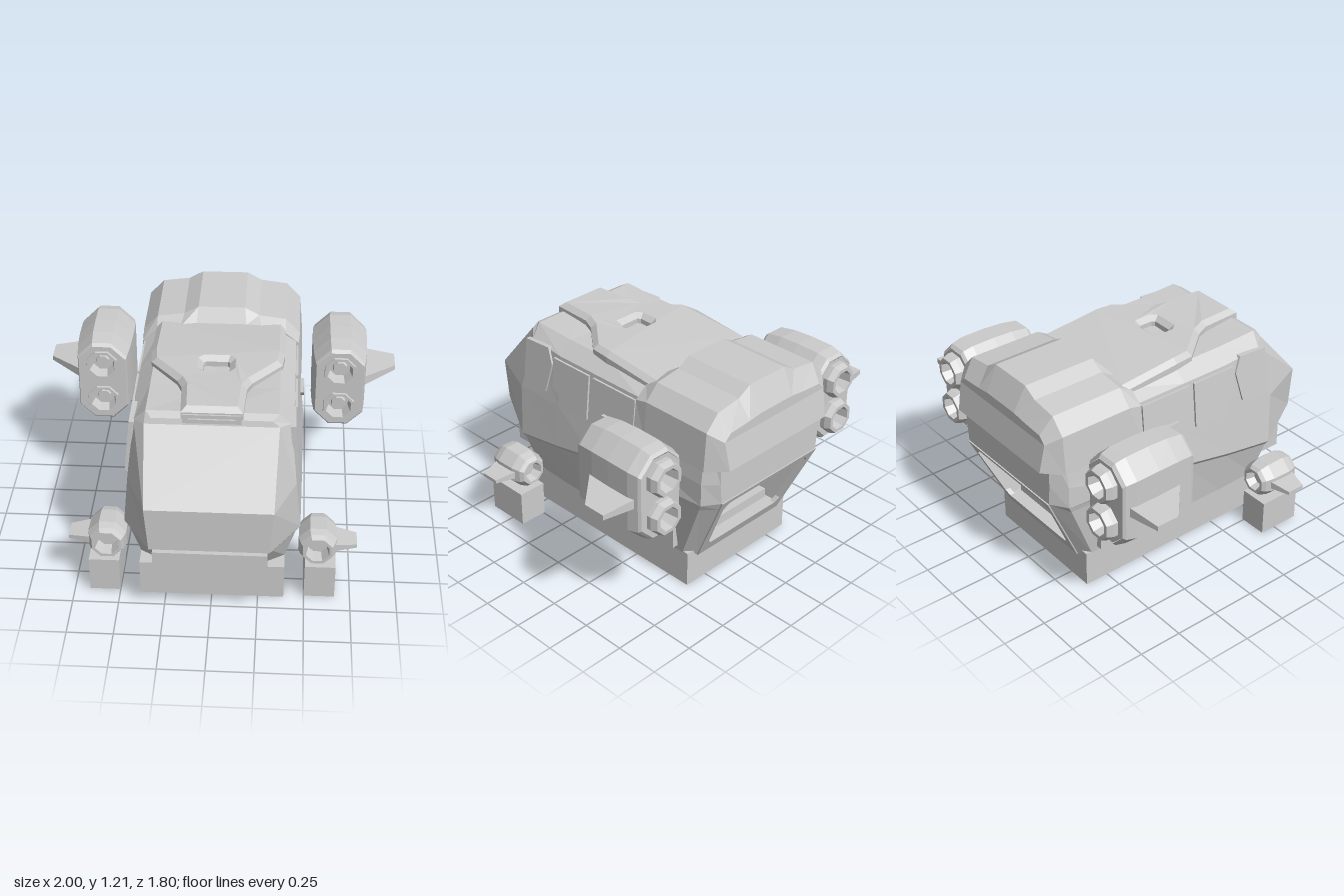
import * as THREE from 'three';

const mat = new THREE.MeshStandardMaterial({ color: 0xcccccc, flatShading: true, side: THREE.DoubleSide });
const OCT = Math.cos(Math.PI / 8);

function mesh(name, geo, parent) {
  const m = new THREE.Mesh(geo, mat);
  m.name = name;
  parent.add(m);
  return m;
}

// box given by its min and max on each axis
function box(name, x0, x1, y0, y1, z0, z1, parent) {
  const m = mesh(name, new THREE.BoxGeometry(x1 - x0, y1 - y0, z1 - z0), parent);
  m.position.set((x0 + x1) / 2, (y0 + y1) / 2, (z0 + z1) / 2);
  return m;
}

// full ring from a half profile running from top centre to bottom centre
const ring = (half, z) => {
  const pts = half.map(p => [p[0], p[1], p[2] ?? z]);
  const other = pts.filter(p => p[0] > 0).reverse().map(p => [-p[0], p[1], p[2]]);
  return pts.concat(other);
};

function toGeometry(pos) {
  const g = new THREE.BufferGeometry();
  g.setAttribute('position', new THREE.Float32BufferAttribute(pos.flat(), 3));
  g.computeVertexNormals();
  return g;
}

// skin between rings that run front to back
function loft(rings) {
  const pos = [];
  for (let i = 0; i < rings.length - 1; i++) {
    const n = rings[i].length;
    for (let j = 0; j < n; j++) {
      const k = (j + 1) % n;
      const [a, b, c, d] = [rings[i][j], rings[i][k], rings[i + 1][k], rings[i + 1][j]];
      pos.push(a, b, c, a, c, d);
    }
  }
  return toGeometry(pos);
}

// end wall made of strips between mirrored points of a half profile
function cap(half, z, back = false) {
  const pos = [];
  for (let j = 0; j < half.length - 1; j++) {
    const [p, q] = [half[j], half[j + 1]].map(v => [v[0], v[1], v[2] ?? z]);
    const pl = [-p[0], p[1], p[2]], ql = [-q[0], q[1], q[2]];
    if (back) pos.push(p, ql, pl, p, q, ql);
    else pos.push(p, pl, ql, p, ql, q);
  }
  return toGeometry(pos);
}

const shapeOf = pts => new THREE.Shape(pts.map(p => new THREE.Vector2(...p)));

function bend(geo, rule) {
  const p = geo.attributes.position, v = new THREE.Vector3();
  for (let i = 0; i < p.count; i++) {
    rule(v.fromBufferAttribute(p, i));
    p.setXYZ(i, v.x, v.y, v.z);
  }
  geo.computeVertexNormals();
  return geo;
}

// thin plate on the left hull side, outlined in (z, y) and following the wall's lean
function sidePanel(name, pts, thick, parent) {
  const geo = new THREE.ExtrudeGeometry(shapeOf(pts.map(([z, y]) => [-z, y])), { depth: thick + 0.02, bevelEnabled: false });
  geo.rotateY(Math.PI / 2);
  return mesh(name, bend(geo, v => { v.x += 0.4 + (1.05 - v.y) * 0.1; }), parent);
}

// eight-sided turned part along z, profile as [apothem, z]
function turned(name, pts, x, y, z, parent) {
  const geo = new THREE.LatheGeometry(pts.map(([r, h]) => new THREE.Vector2(r / OCT, h)), 8);
  geo.rotateY(Math.PI / 8).rotateX(Math.PI / 2);
  const m = mesh(name, geo, parent);
  m.position.set(x, y, z);
  return m;
}

// fin tapering outwards: root and tip as [x, y, half thickness, front z, rear z]
function fin(name, root, tip, parent) {
  const section = ([x, y, t, f, r]) => [[x, y + t, f], [x, y + t, r], [x, y - t, r], [x, y - t, f]];
  const a = section(root), b = section(tip);
  const g = loft([a, b]), end = toGeometry([b[0], b[2], b[1], b[0], b[3], b[2]]);
  mesh(name, g, parent);
  mesh(name + 'Tip', end, parent);
}

function buildHull(g) {
  const nose = [[0, 1.11, .6], [.31, 1.11, .6], [.345, 1.08, .61], [.33, .75, .9], [.31, .5, .9], [.3, .43, .78], [.3, .22, .62], [0, .22, .62]];
  const mid = (z, top, crease) => [[0, top, z], [.34, top + .01, z], [.42, 1.05, z], [.45, .75, z], [.472, crease, z], [.448, crease - .03, z], [.4, .21, z], [0, .21, z]];
  const rear = [[0, 1.08, -.85], [.3, 1.08, -.85], [.38, 1, -.85], [.38, .75, -.85], [.37, .63, -.85], [.365, .58, -.827], [.32, .17, -.64], [0, .17, -.64]];
  const halves = [
    nose,
    [[0, 1.13, .56], [.34, 1.13, .56], [.405, 1.06, .54], [.44, .74, .62], [.468, .45, .6], [.445, .42, .6], [.39, .21, .55], [0, .21, .55]],
    mid(.3, 1.11, .5), mid(0, 1.11, .56), mid(-.3, 1.09, .6),
    [[0, 1.08, -.78], [.33, 1.09, -.78], [.42, 1.05, -.78], [.45, .75, -.78], [.45, .62, -.78], [.44, .58, -.76], [.39, .2, -.6], [0, .2, -.6]],
    rear,
  ];
  mesh('hull', loft(halves.map(h => ring(h))), g);
  mesh('windscreenAndNose', cap(nose), g);
  mesh('rearWall', cap(rear.slice(0, 5), 0, true), g);

  // sloping frame around the open rear doorway
  const lean = y => -.85 + (.63 - y) * .457;
  const frame = shapeOf([[-.37, .63], [.37, .63], [.32, .17], [-.32, .17]]);
  frame.holes.push(shapeOf([[-.3, .6], [-.33, .56], [-.285, .27], [-.26, .24], [.26, .24], [.285, .27], [.33, .56], [.3, .6]]));
  const frameGeo = new THREE.ExtrudeGeometry(frame, { depth: .03, bevelEnabled: false });
  mesh('doorFrame', bend(frameGeo, v => { v.z += lean(v.y) - .008; }), g);

  // cabin behind the doorway
  const room = [[0, .6], [.335, .6], [.285, .235], [0, .235]];
  mesh('cabin', loft([ring(room.map(([x, y]) => [x, y, lean(y) + .02])), ring(room, -.12)]), g);
  mesh('cabinWall', cap(room, -.12, true), g);
  box('cabinStep', -.27, .27, .235, .29, -.6, -.5, g);
  box('cabinLocker', -.12, .06, .4, .46, -.16, -.12, g);
  box('cabinSeat', .15, .25, .235, .42, -.3, -.14, g);
}

function buildRoof(g) {
  // raised roof spine, flaring to the rear, with a sunken hatch
  const half = [[.13, .57], [.14, .36], [.17, .28], [.32, .1], [.33, 0], [.33, -.34]];
  const shape = shapeOf([...half, ...half.map(([x, z]) => [-x, z]).reverse()].map(([x, z]) => [x, -z]));
  const hatch = [[.07, .06], [.1, .09], [.1, .19], [.07, .225]];
  shape.holes.push(shapeOf([...hatch, ...hatch.map(([x, z]) => [-x, z]).reverse()].map(([x, z]) => [x, -z])));
  const geo = new THREE.ExtrudeGeometry(shape, { depth: .06, bevelThickness: .025, bevelSize: .03, bevelOffset: 0, bevelSegments: 1 });
  geo.rotateX(-Math.PI / 2).translate(0, 1.08, 0);
  mesh('roofSpine', bend(geo, v => { v.y += v.z > .3 ? .008 : Math.min(0, v.z) * .1; }), g);
  box('roofVent', -.15, .15, 1.09, 1.14, .5, .61, g);
  box('ventSlat', -.12, .12, 1.105, 1.12, .6, .62, g);

  // engine hood over the rear
  const h = [[0, 1.21], [.13, 1.21], [.21, 1.165], [.36, 1.145], [.44, 1.06], [.457, .84], [0, .84]];
  const front = [[0, 1.13], [.14, 1.13], [.23, 1.12], [.36, 1.1], [.435, 1.04], [.457, .84], [0, .84]].map(([x, y], i) => [x, y, i < 2 ? -.33 : -.3]);
  const back = [[0, 1.07, -.87], [.12, 1.07, -.87], [.2, 1.06, -.87], [.34, 1.05, -.87], [.38, 1.01, -.87], [.37, .85, -.9], [0, .85, -.9]];
  mesh('engineHood', loft([ring(front), ring(h, -.38), ring(h, -.8), ring(back)]), g);
  mesh('hoodFront', cap(front), g);
  mesh('hoodBack', cap(back, 0, true), g);
}

function buildSide(g) {
  sidePanel('sideWindow', [[.57, 1.06], [.39, 1.07], [.355, .98], [.4, .8], [.45, .78], [.58, .76]], .008, g);
  sidePanel('frontDoor', [[.34, 1.03], [.06, 1.03], [.06, .77], [.25, .82], [.34, .85]], .012, g);
  sidePanel('rearDoor', [[.03, 1.03], [-.29, 1.03], [-.29, .84], [.03, .86]], .012, g);
  sidePanel('doorHandle', [[-.07, .86], [-.22, .86], [-.2, .83], [-.09, .83]], .03, g);
  box('lowerPanelFront', .36, .432, .235, .46, -.215, 0, g);
  box('lowerPanelRear', .36, .432, .235, .46, -.57, -.3, g);

  // main nacelle with paired nozzles at both ends
  const pod = new THREE.Group();
  pod.name = 'mainNacelle';
  g.add(pod);
  const cx = .673, cy = .768;
  const oct = [[.06, .268], [.155, .175], [.155, -.175], [.06, -.268], [-.06, -.268], [-.155, -.175], [-.155, .175], [-.06, .268]];
  const at = (sx, sy, z) => oct.map(([x, y]) => [cx + x * sx, cy + y * sy, z]);
  mesh('nacelleShell', loft([at(.86, .86, -.262), at(.9, .92, -.28), at(.97, .98, -.38), at(1, 1, -.5), at(1, .99, -.64), at(.92, .94, -.7), at(.85, .88, -.715)]), pod);
  for (const [name, s, z] of [['nacelleFront', .86, -.262], ['nacelleBack', .86, -.715]]) {
    const face = shapeOf(oct.map(([x, y]) => [x * s, y * s]));
    for (const dy of [.115, -.115]) {
      const hole = [];
      for (let i = 0; i < 8; i++) {
        const a = (i + .5) * Math.PI / 4;
        hole.push([Math.cos(a) * .085 / OCT, dy + Math.sin(a) * .085 / OCT]);
      }
      face.holes.push(shapeOf(hole));
    }
    mesh(name, new THREE.ShapeGeometry(face), pod).position.set(cx, cy, z);
  }
  for (const dy of [.115, -.115]) {
    turned('intake', [[.09, -.01], [.085, .012], [.07, .012], [.055, -.05], [.04, -.05], [.035, -.03], [0, -.03]], cx, cy + dy, -.262, pod);
    turned('exhaust', [[.095, -.02], [.095, .03], [.082, .065], [.062, .065], [.045, -.02], [0, -.02]], cx, cy + dy, -.712, pod).rotation.x = Math.PI;
  }
  fin('nacelleFin', [.81, .767, .028, -.35, -.68], [1, .762, .014, -.52, -.65], pod);

  // small forward thruster on its foot block
  const jet = [[0, -.07], [.04, -.07], [.055, -.12], [.07, -.12], [.085, -.1], [.1, -.05], [.103, .06], [.092, .1], [.078, .128], [.062, .128], [.05, .06], [0, .06]];
  turned('thruster', jet, .565, .317, .522, g);
  fin('thrusterFin', [.65, .318, .022, .615, .45], [.775, .314, .01, .585, .48], g);
  box('footBlock', .5, .665, .01, .212, .4, .65, g);
}

export function createModel() {
  const model = new THREE.Group();
  model.name = 'dropship';
  buildHull(model);
  buildRoof(model);
  box('chinBox', -.3, .3, .235, .43, .45, .84, model);
  box('baseBlock', -.39, .39, 0, .208, -.637, .655, model);

  const left = new THREE.Group();
  left.name = 'leftSide';
  buildSide(left);
  const right = left.clone();
  right.name = 'rightSide';
  right.scale.x = -1;
  model.add(left, right);
  return model;
}
